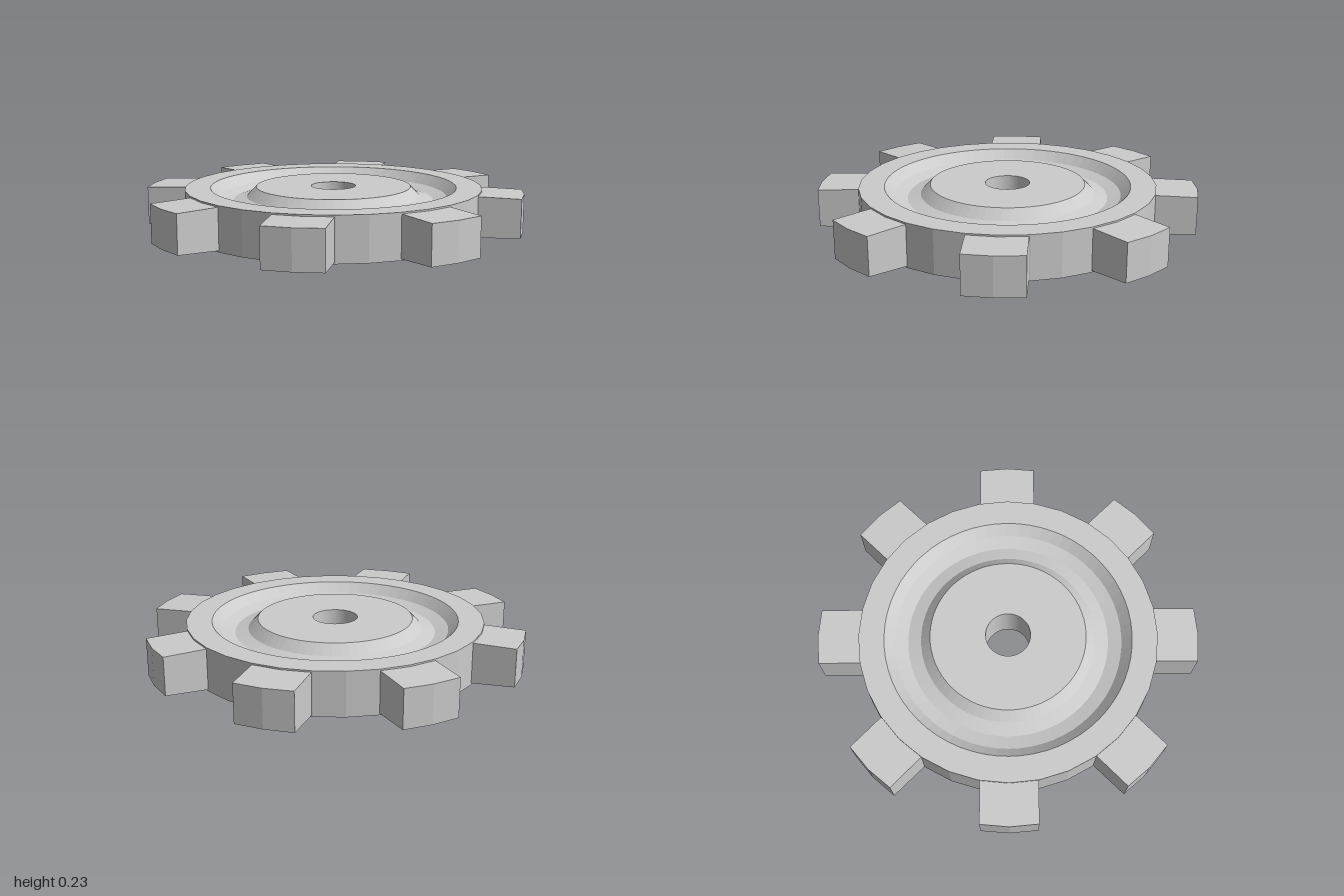
import * as THREE from 'three';

const HEIGHT = 0.23, RIM = 0.785, HOLE = 0.118, SEGMENTS = 64;

// Wheel body: lathed section with a rounded groove in both faces
function createBody(material) {
  const grooveRadius = 0.53, arc = 0.139, steps = 4, span = Math.PI / 3;
  const groove = [];
  for (let i = 0; i <= steps; i++) {
    const a = span - (2 * span * i) / steps;
    groove.push([grooveRadius + arc * Math.sin(a), arc * (Math.cos(a) - Math.cos(span))]);
  }
  const profile = [
    [RIM, 0], [RIM, HEIGHT],
    ...groove.map(([r, depth]) => [r, HEIGHT - depth]),
    [HOLE, HEIGHT], [HOLE, 0],
    ...groove.slice().reverse(),
    [RIM, 0],
  ].map(([r, y]) => new THREE.Vector2(r, y));
  const geometry = new THREE.LatheGeometry(profile, SEGMENTS);

  // The rim has half as many sides: pull every second rim vertex onto its chord
  const pos = geometry.attributes.position;
  const chord = Math.cos((2 * Math.PI) / SEGMENTS);
  for (let i = 0; i < pos.count; i++) {
    const column = Math.floor(i / profile.length);
    const onRim = Math.hypot(pos.getX(i), pos.getZ(i)) > RIM - 0.01;
    if (onRim && column % 2 === 1) {
      pos.setX(i, pos.getX(i) * chord);
      pos.setZ(i, pos.getZ(i) * chord);
    }
  }
  const body = new THREE.Mesh(geometry, material);
  body.name = 'wheelBody';
  return body;
}

// Tooth: straight sides, peaked outer end, slightly thinner outwards
function createToothGeometry() {
  const w = 0.148, inner = 0.7, outer = 0.987;
  const shape = new THREE.Shape();
  shape.moveTo(-w, inner);
  shape.lineTo(w, inner);
  shape.lineTo(w, outer);
  shape.lineTo(0, 1);
  shape.lineTo(-w, outer);
  shape.closePath();
  const geometry = new THREE.ExtrudeGeometry(shape, { depth: 2, bevelEnabled: false });
  geometry.translate(0, 0, -1);
  const pos = geometry.attributes.position;
  for (let i = 0; i < pos.count; i++) {
    const t = (pos.getY(i) - inner) / (1 - inner);
    pos.setZ(i, HEIGHT / 2 + pos.getZ(i) * THREE.MathUtils.lerp(0.109, 0.1, t));
  }
  geometry.rotateX(-Math.PI / 2);
  geometry.computeVertexNormals();
  return geometry;
}

export function createModel() {
  const model = new THREE.Group();
  model.name = 'gear';
  const material = new THREE.MeshStandardMaterial({ color: 0xcccccc, flatShading: true });
  model.add(createBody(material));

  const toothGeometry = createToothGeometry();
  for (let i = 0; i < 8; i++) {
    const tooth = new THREE.Mesh(toothGeometry, material);
    tooth.name = `tooth${i + 1}`;
    tooth.rotation.y = (i * Math.PI) / 4;
    model.add(tooth);
  }
  return model;
}
